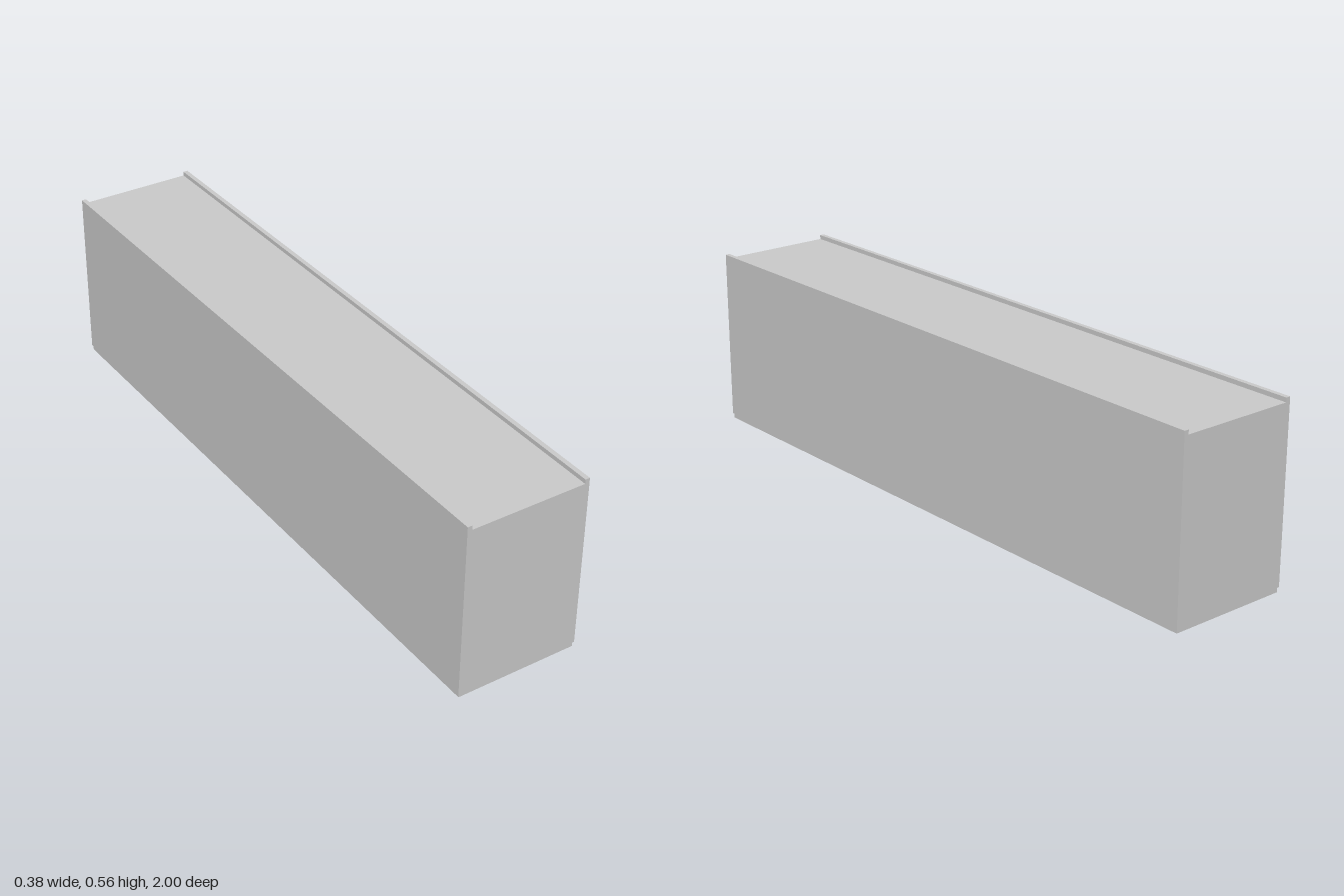
import * as THREE from 'three';

export function createModel() {
  const group = new THREE.Group();
  const material = new THREE.MeshStandardMaterial({ color: 0xcccccc });

  const add = (name, geometry, x, y, z) => {
    const mesh = new THREE.Mesh(geometry, material);
    mesh.name = name;
    mesh.position.set(x, y, z);
    group.add(mesh);
    return mesh;
  };

  // Long housing: one cross-section with a raised lip along each top edge
  const w = 0.188, lip = 0.014, bottom = 0.028, deck = 0.543, top = 0.556;
  const section = new THREE.Shape([
    [-w, bottom], [w, bottom], [w, top], [w - lip, top],
    [w - lip, deck], [lip - w, deck], [lip - w, top], [-w, top],
  ].map(([x, y]) => new THREE.Vector2(x, y)));
  add('housing', new THREE.ExtrudeGeometry(section, { depth: 2, bevelEnabled: false }), 0, 0, -1);

  // Slightly inset cover plate underneath
  const plateBottom = 0.013;
  add('bottomCover', new THREE.BoxGeometry(0.37, bottom - plateBottom, 1.994),
    0, (bottom + plateBottom) / 2, 0);

  // Small round-ended tab below the front end
  const r = 0.007, half = 0.045 - r;
  const slot = new THREE.Shape();
  slot.absarc(half, 0, r, -Math.PI / 2, Math.PI / 2);
  slot.absarc(-half, 0, r, Math.PI / 2, Math.PI * 1.5);
  const tab = add('latchTab', new THREE.ExtrudeGeometry(slot,
    { depth: plateBottom, bevelEnabled: false, curveSegments: 12 }), 0, 0, 0.93);
  tab.rotation.x = -Math.PI / 2;

  return group;
}
